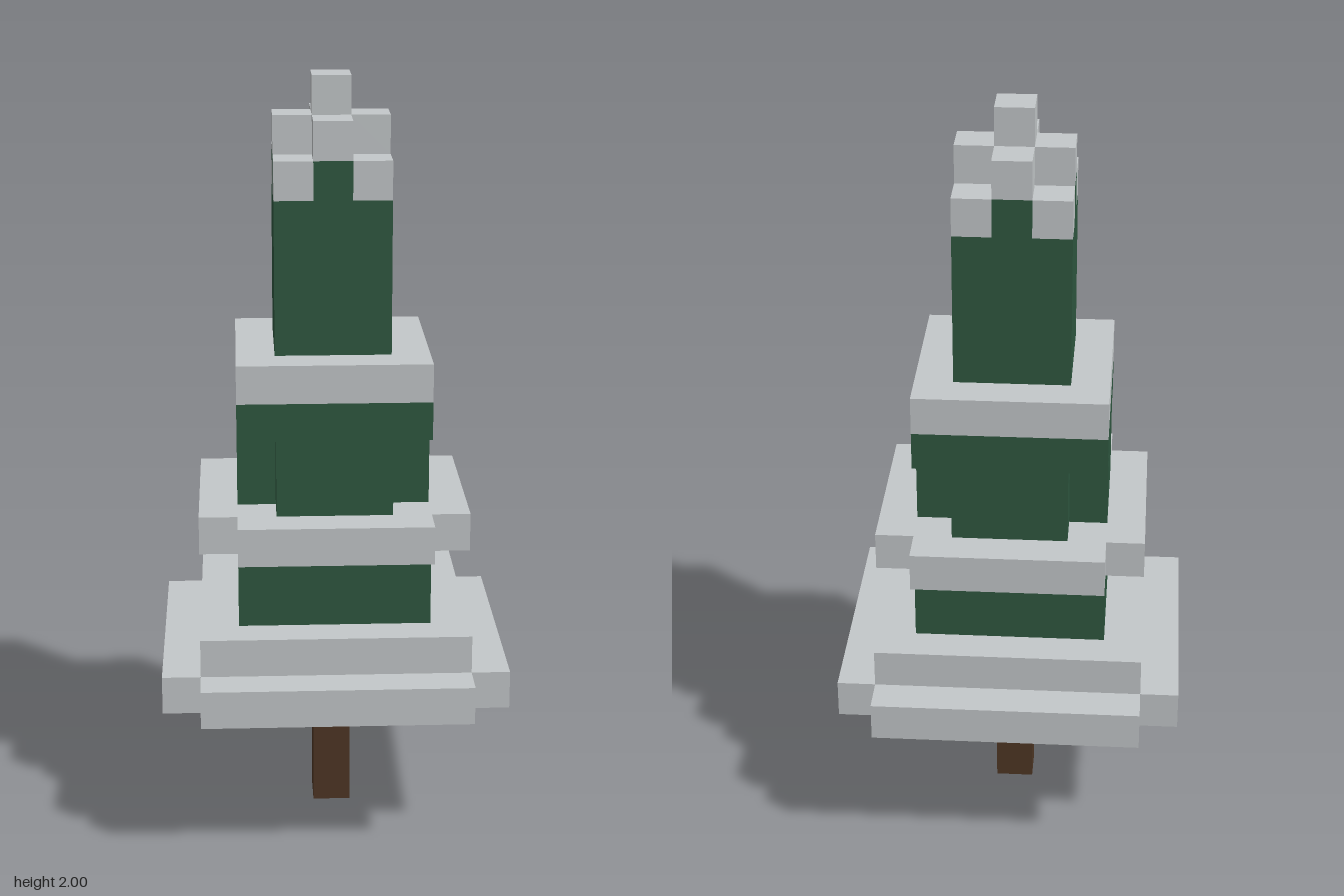
import * as THREE from 'three';

const mat = (name, color) => {
  const m = new THREE.MeshStandardMaterial({ color });
  m.name = name;
  return m;
};

export function createModel() {
  const snow = mat('snow', 0xc4c8ca);
  const needles = mat('pine green', 0x2f5840);
  const bark = mat('bark brown', 0x4e3624);
  const tree = new THREE.Group();
  tree.name = 'snowyTree';

  const add = (name, geometry, material) => {
    const mesh = new THREE.Mesh(geometry, material);
    mesh.name = name;
    tree.add(mesh);
    return mesh;
  };

  // Square block of half width h, from y0 to y1
  const block = (name, material, h, y0, y1, x = 0, z = 0) =>
    add(name, new THREE.BoxGeometry(2 * h, y1 - y0, 2 * h), material)
      .position.set(x, (y0 + y1) / 2, z);

  // Square block with its corners cut back from a to b
  const notched = (name, material, a, b, y0, y1) => {
    const shape = new THREE.Shape([
      [a, -b], [a, b], [b, b], [b, a], [-b, a], [-b, b],
      [-a, b], [-a, -b], [-b, -b], [-b, -a], [b, -a], [b, -b],
    ].map(([x, y]) => new THREE.Vector2(x, y)));
    const geometry = new THREE.ExtrudeGeometry(shape, { depth: y1 - y0, bevelEnabled: false });
    geometry.rotateX(-Math.PI / 2).translate(0, y0, 0);
    add(name, geometry, material);
  };

  // Trunk
  block('trunk', bark, 0.05, 0, 0.3);
  block('trunkTop', needles, 0.05, 0.3, 0.4);

  // Lowest branches, with a green underside
  block('bottomUnderside', needles, 0.34, 0.398, 0.402);
  notched('bottomSnowRim', snow, 0.45, 0.35, 0.4, 0.5);
  block('bottomSnowStep', snow, 0.35, 0.5, 0.6);

  // Middle branches
  block('lowerBranches', needles, 0.25, 0.6, 0.8);
  notched('middleSnow', snow, 0.35, 0.25, 0.8, 0.9);
  notched('middleBranches', needles, 0.25, 0.15, 0.9, 1.1);
  block('upperBranches', needles, 0.25, 1.1, 1.2);
  block('upperSnow', snow, 0.25, 1.2, 1.3);

  // Crown, with snow on its corners
  block('crown', needles, 0.15, 1.3, 1.7);
  notched('crownTop', needles, 0.15, 0.05, 1.7, 1.8);
  for (const x of [-0.1, 0.1])
    for (const z of [-0.1, 0.1]) block('cornerSnow', snow, 0.05, 1.7, 1.8, x, z);

  // Snow cap and tip
  notched('capSnow', snow, 0.15, 0.05, 1.8, 1.9);
  block('tipSnow', snow, 0.05, 1.9, 2);

  return tree;
}
